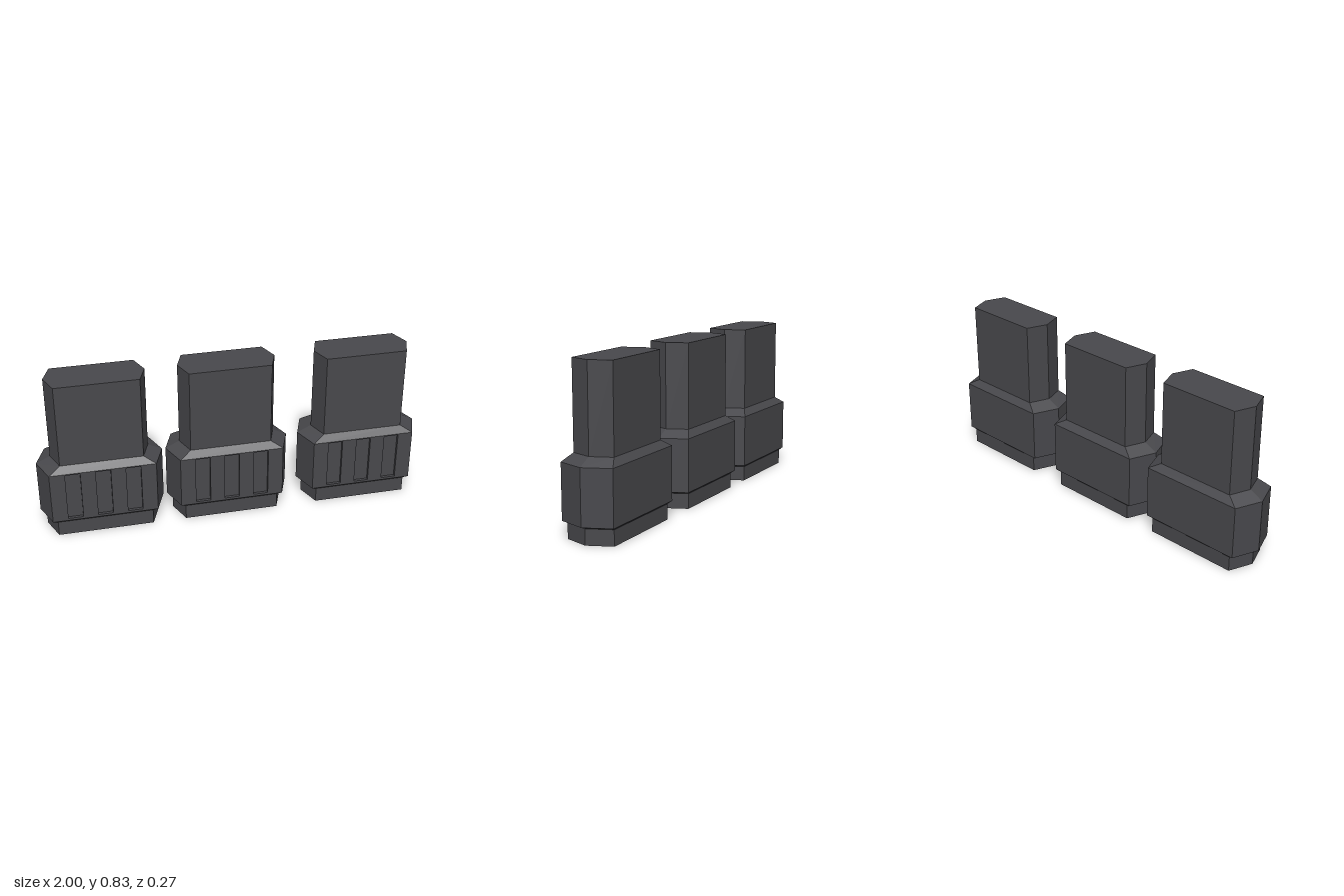
import * as THREE from 'three';

// Hexagonal section: half width at the tips, half width of the flats, half depth
const BASE = [0.29, 0.243, 0.124];
const BODY = [0.32, 0.268, 0.137];
const NECK = [0.248, 0.209, 0.107];
const GROOVE_DEPTH = 0.015;

function ring([w, f, d], y) {
  return [[w, 0], [f, -d], [-f, -d], [-w, 0], [-f, d], [f, d]].map(([x, z]) => [x, y, z]);
}

// Flat-faced loft through hexagonal rings, with optional caps and an optional open front
function loft(rings, { bottom = false, top = false, openFront = false } = {}) {
  const pos = [];
  const tri = (...corners) => corners.forEach((c) => pos.push(...c));
  for (let i = 0; i < rings.length - 1; i++) {
    const a = rings[i], b = rings[i + 1];
    for (let j = 0; j < 6; j++) {
      if (openFront && j === 4) continue;
      const k = (j + 1) % 6;
      tri(a[j], a[k], b[k]);
      tri(a[j], b[k], b[j]);
    }
  }
  const first = rings[0], last = rings[rings.length - 1];
  for (let j = 1; j < 5; j++) {
    if (bottom) tri(first[0], first[j + 1], first[j]);
    if (top) tri(last[0], last[j], last[j + 1]);
  }
  const g = new THREE.BufferGeometry();
  g.setAttribute('position', new THREE.Float32BufferAttribute(pos, 3));
  g.computeVertexNormals();
  return g;
}

function rectangle(PathType, x0, x1, y0, y1) {
  const p = new PathType();
  p.moveTo(x0, y0);
  p.lineTo(x1, y0);
  p.lineTo(x1, y1);
  p.lineTo(x0, y1);
  p.closePath();
  return p;
}

export function createModel() {
  const model = new THREE.Group();
  model.name = 'connectorRow';
  const plastic = new THREE.MeshStandardMaterial({ color: 0x48484c });
  plastic.name = 'dark grey plastic';

  // Front panel pierced by three grip grooves
  const panel = rectangle(THREE.Shape, -BODY[1], BODY[1], 0.09, 0.363);
  for (const x of [-0.152, 0, 0.152]) {
    panel.holes.push(rectangle(THREE.Path, x - 0.038, x + 0.038, 0.102, 0.357));
  }
  const panelGeometry = new THREE.ExtrudeGeometry(panel, { depth: GROOVE_DEPTH, bevelEnabled: false });
  panelGeometry.translate(0, 0, BODY[2] - GROOVE_DEPTH);

  // Floor of the grooves
  const floorGeometry = new THREE.PlaneGeometry(0.4, 0.265);
  floorGeometry.translate(0, 0.2265, BODY[2] - GROOVE_DEPTH);

  const parts = {
    base: loft([ring(BASE, 0), ring(BASE, 0.078), ring(BODY, 0.09)], { bottom: true }),
    body: loft([ring(BODY, 0.09), ring(BODY, 0.363)], { openFront: true }),
    gripPanel: panelGeometry,
    grooveFloor: floorGeometry,
    shoulder: loft([ring(BODY, 0.363), ring(NECK, 0.398)]),
    neck: loft([ring(NECK, 0.398), ring(NECK, 0.83)], { top: true }),
  };

  // Three identical connectors, unevenly spaced
  [-0.68, -0.022, 0.68].forEach((x, i) => {
    const connector = new THREE.Group();
    connector.name = `connector${i + 1}`;
    for (const [name, geometry] of Object.entries(parts)) {
      const mesh = new THREE.Mesh(geometry, plastic);
      mesh.name = name;
      connector.add(mesh);
    }
    connector.position.x = x;
    model.add(connector);
  });
  return model;
}
